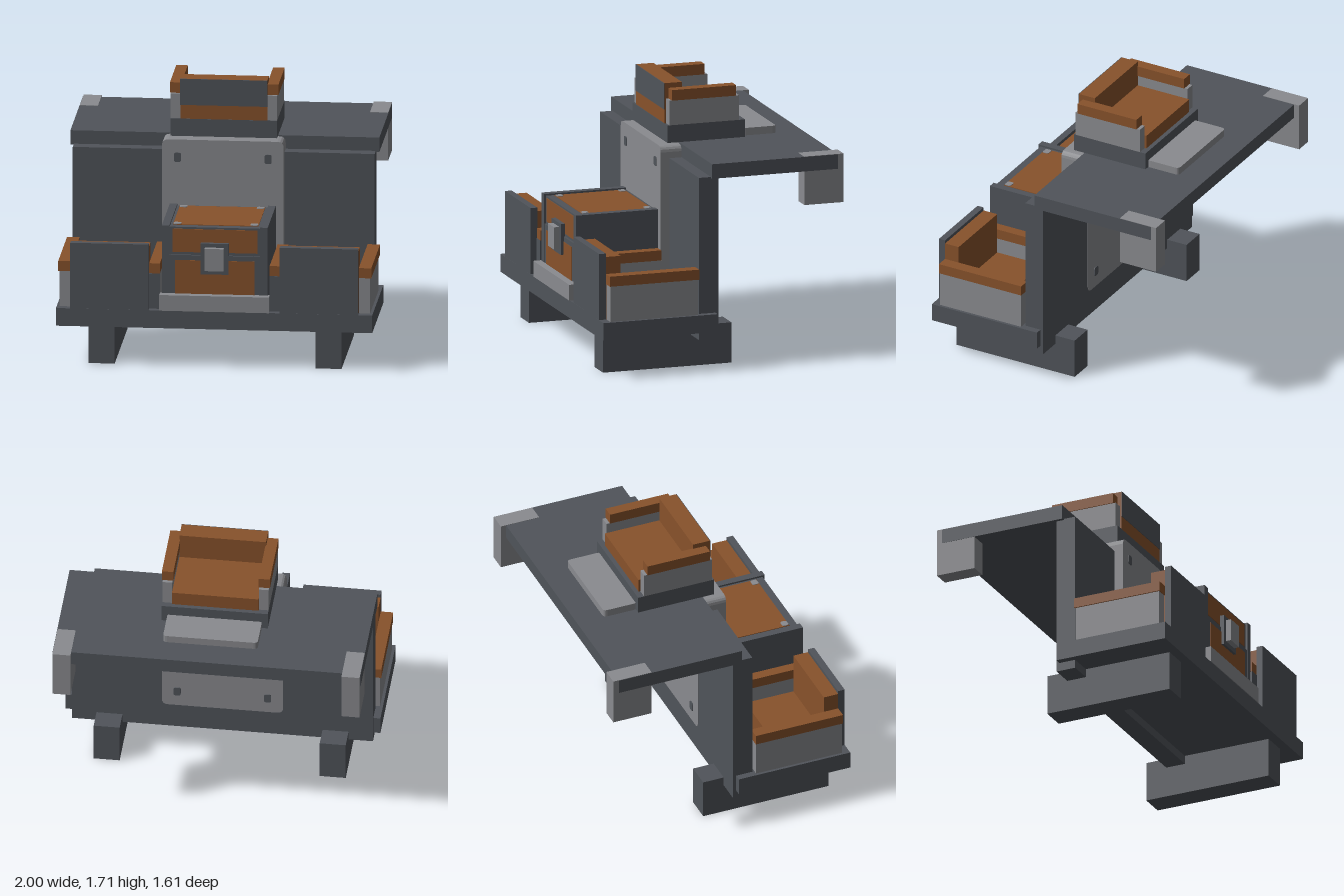
import * as THREE from 'three';

const mat = (name, color) => Object.assign(new THREE.MeshStandardMaterial({ color }), { name });

export function createModel() {
  const dark = mat('dark steel', 0x50545a);
  const light = mat('light steel', 0x8a8b8f);
  const leather = mat('brown leather', 0x88522b);
  const root = new THREE.Group();
  root.name = 'workstation';

  // box given by its min and max on each axis
  const box = (name, m, x0, x1, y0, y1, z0, z1, parent = root) => {
    const mesh = new THREE.Mesh(new THREE.BoxGeometry(x1 - x0, y1 - y0, z1 - z0), m);
    mesh.position.set((x0 + x1) / 2, (y0 + y1) / 2, (z0 + z1) / 2);
    mesh.name = name;
    parent.add(mesh);
    return mesh;
  };
  // the same box on both sides of the centre
  const pair = (name, m, x0, x1, ...rest) => {
    box(name + 'Left', m, x0, x1, ...rest);
    box(name + 'Right', m, -x1, -x0, ...rest);
  };
  // plate with rounded corners, extruded along z
  const roundedPlate = (name, m, w, h, r, depth) => {
    const s = new THREE.Shape();
    const x = w / 2, y = h / 2;
    s.moveTo(-x + r, -y);
    s.lineTo(x - r, -y).quadraticCurveTo(x, -y, x, -y + r);
    s.lineTo(x, y - r).quadraticCurveTo(x, y, x - r, y);
    s.lineTo(-x + r, y).quadraticCurveTo(-x, y, -x, y - r);
    s.lineTo(-x, -y + r).quadraticCurveTo(-x, -y, -x + r, -y);
    const g = new THREE.ExtrudeGeometry(s, { depth, bevelEnabled: false, curveSegments: 4 });
    const mesh = new THREE.Mesh(g, m);
    mesh.name = name;
    root.add(mesh);
    return mesh;
  };

  // base, wall and table top
  pair('foot', dark, 0.635, 0.8, 0, 0.26, -0.12, 0.735);
  box('floor', dark, -1, 1, 0.255, 0.37, 0.04, 0.8);
  box('wall', dark, -0.955, 0.955, 0.2, 1.25, 0.02, 0.15);
  box('tableTop', dark, -0.977, 0.977, 1.243, 1.337, -0.77, 0.07);
  pair('tableCorner', light, 0.86, 0.975, 1.025, 1.339, -0.807, -0.545);

  // central panel passing through the wall, with bolts on both faces
  roundedPlate('wallPanel', light, 0.77, 0.96, 0.04, 0.193).position.set(0, 0.85, 0.017);
  for (const x of [-0.287, 0.287]) for (const y of [0.48, 1.215]) for (const z of [0.011, 0.206])
    roundedPlate('panelBolt', dark, 0.045, 0.06, 0.014, 0.008).position.set(x, y, z);

  // two low seats, facing the wall
  pair('seatFront', dark, 0.415, 0.91, 0.37, 0.797, 0.755, 0.799);
  pair('seatBackrest', leather, 0.415, 0.91, 0.37, 0.775, 0.657, 0.755);
  pair('seatCushion', leather, 0.415, 0.91, 0.37, 0.5, 0.33, 0.657);
  pair('outerArm', light, 0.911, 0.982, 0.37, 0.6, 0.165, 0.75);
  pair('outerArmPad', leather, 0.911, 0.99, 0.6, 0.665, 0.16, 0.755);
  pair('innerArm', light, 0.352, 0.415, 0.37, 0.6, 0.21, 0.75);
  pair('innerArmPad', leather, 0.347, 0.415, 0.6, 0.665, 0.215, 0.757);
  pair('innerArmFront', dark, 0.347, 0.415, 0.37, 0.6, 0.75, 0.759);

  // chest
  box('chestLower', dark, -0.287, 0.287, 0.37, 0.722, 0.21, 0.752);
  box('chestLowerFront', leather, -0.25, 0.25, 0.47, 0.69, 0.752, 0.755);
  box('chestLid', dark, -0.287, 0.287, 0.722, 0.902, 0.21, 0.74);
  box('chestLidFront', leather, -0.268, 0.268, 0.74, 0.89, 0.74, 0.745);
  box('chestLidTop', leather, -0.27, 0.27, 0.902, 0.906, 0.227, 0.69);
  pair('chestSide', dark, 0.287, 0.335, 0.37, 0.913, 0.21, 0.755);
  for (const x of [-0.243, 0.243]) for (const z of [0.25, 0.667]) {
    const bolt = roundedPlate('lidBolt', light, 0.048, 0.042, 0.013, 0.004);
    bolt.rotation.x = -Math.PI / 2;
    bolt.position.set(x, 0.906, z);
  }
  box('lockPlate', dark, -0.088, 0.088, 0.605, 0.805, 0.745, 0.772);
  box('lock', light, -0.06, 0.06, 0.635, 0.78, 0.772, 0.807);
  box('chestSill', light, -0.347, 0.347, 0.37, 0.472, 0.745, 0.805);

  // upper seat on the table
  box('upperSeatBase', dark, -0.337, 0.337, 1.337, 1.45, -0.37, 0.147);
  box('upperSeatCushion', leather, -0.275, 0.275, 1.45, 1.54, -0.342, 0.145);
  box('upperBackrest', leather, -0.275, 0.275, 1.54, 1.71, 0.03, 0.145);
  box('upperBackrestFront', dark, -0.275, 0.275, 1.54, 1.71, 0.145, 0.149);
  pair('upperArm', light, 0.275, 0.337, 1.45, 1.61, -0.33, 0.135);
  pair('upperArmPad', leather, 0.27, 0.343, 1.61, 1.678, -0.308, 0.118);

  // footrest behind the upper seat
  const step = roundedPlate('footrest', light, 0.6, 0.23, 0.025, 0.048);
  step.rotation.x = -Math.PI / 2;
  step.position.set(0, 1.337, -0.475);

  return root;
}
